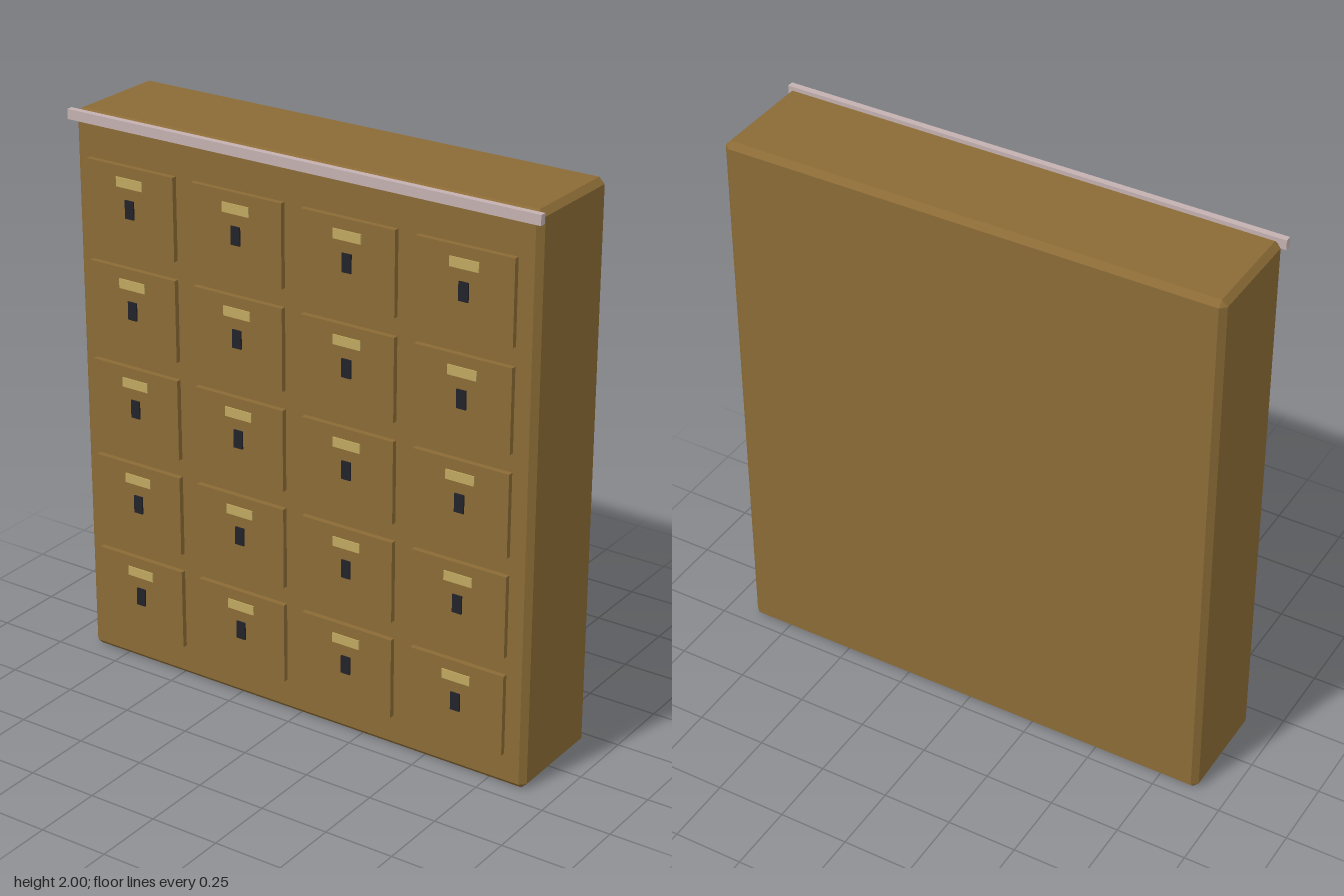
import * as THREE from 'three';
import { ConvexGeometry } from 'three/addons/geometries/ConvexGeometry.js';

// Box with every edge cut at 45 degrees
function chamferBox(w, h, d, c) {
  const points = [];
  for (const x of [-1, 1]) for (const y of [-1, 1]) for (const z of [-1, 1]) {
    for (let axis = 0; axis < 3; axis++) {
      const inset = [0, 1, 2].map(i => (i === axis ? 0 : c));
      points.push(new THREE.Vector3(
        x * (w / 2 - inset[0]), y * (h / 2 - inset[1]), z * (d / 2 - inset[2])));
    }
  }
  return new ConvexGeometry(points);
}

function material(name, color) {
  const m = new THREE.MeshStandardMaterial({ color });
  m.name = name;
  return m;
}

export function createModel() {
  const wood = material('wood', 0x8b6b36);
  const brass = material('brass', 0xc0a860);
  const iron = material('dark iron', 0x22222a);
  const trim = material('pale trim', 0xc4b0b0);

  const model = new THREE.Group();
  model.name = 'lockerCabinet';

  function add(parent, name, geometry, mat, x, y, z) {
    const mesh = new THREE.Mesh(geometry, mat);
    mesh.name = name;
    mesh.position.set(x, y, z);
    parent.add(mesh);
  }

  // Cabinet body and the trim rail along its top front edge
  add(model, 'cabinetBody', chamferBox(1.786, 2, 0.396, 0.02), wood, 0, 1, -0.011);
  add(model, 'topRail', new THREE.BoxGeometry(1.806, 0.035, 0.023), trim, 0, 1.9825, 0.1985);

  // Grid of locker doors, each with a name plate and a lock
  const doorGeometry = new THREE.BoxGeometry(0.356, 0.292, 0.022);
  const plateGeometry = new THREE.BoxGeometry(0.106, 0.034, 0.006);
  const lockGeometry = new THREE.BoxGeometry(0.035, 0.064, 0.008);
  for (let row = 0; row < 5; row++) {
    for (let col = 0; col < 4; col++) {
      const locker = new THREE.Group();
      locker.name = `locker_${row + 1}_${col + 1}`;
      locker.position.set(-0.655 + col * 0.431, 0.265 + row * 0.358, 0);
      add(locker, 'door', doorGeometry, wood, 0, 0, 0.195);
      add(locker, 'namePlate', plateGeometry, brass, 0, 0.09, 0.207);
      add(locker, 'lock', lockGeometry, iron, 0, 0, 0.208);
      model.add(locker);
    }
  }
  return model;
}
